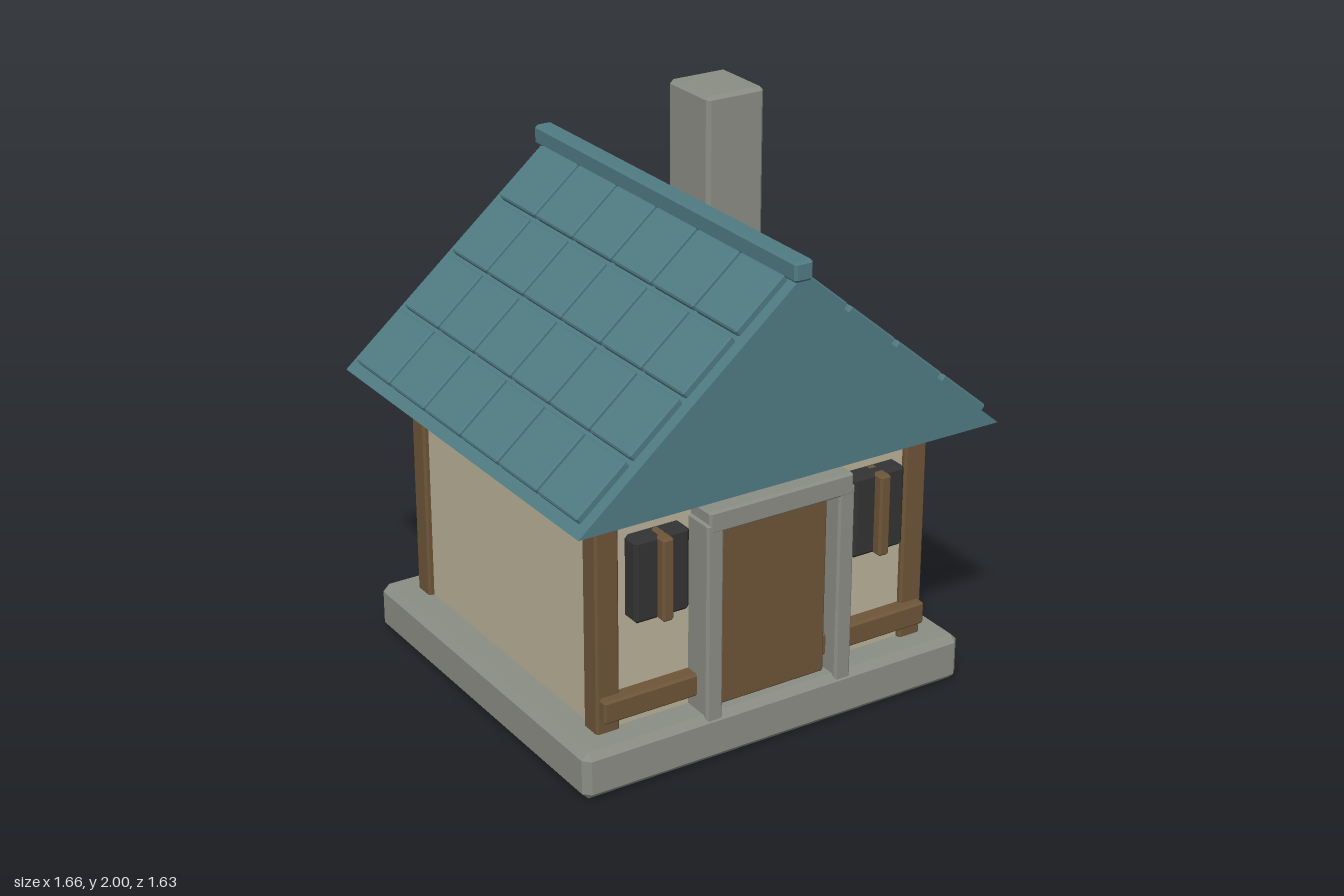
import * as THREE from 'three';
import { ConvexGeometry } from 'three/addons/geometries/ConvexGeometry.js';

const material = (name, color) => {
  const m = new THREE.MeshStandardMaterial({ color });
  m.name = name;
  return m;
};

// Box with flat chamfered edges, from its lower and upper corners
function chamferBox(min, max, bevel) {
  const c = min.map((v, i) => (v + max[i]) / 2);
  const h = min.map((v, i) => (max[i] - v) / 2);
  const points = [];
  for (const sx of [-1, 1]) for (const sy of [-1, 1]) for (const sz of [-1, 1]) {
    for (let full = 0; full < 3; full++) {
      const p = [sx, sy, sz].map((s, i) => c[i] + s * (h[i] - (i === full ? 0 : bevel)));
      points.push(new THREE.Vector3(...p));
    }
  }
  return new ConvexGeometry(points);
}

export function createModel() {
  const house = new THREE.Group();
  house.name = 'house';
  const stone = material('stone', 0x8a8d84);
  const plaster = material('plaster', 0xb9b198);
  const wood = material('wood', 0x6d5538);
  const slate = material('roofTeal', 0x4f7a82);
  const dark = material('windowDark', 0x333333);

  const add = (name, geometry, mat, parent = house) => {
    const mesh = new THREE.Mesh(geometry, mat);
    mesh.name = name;
    parent.add(mesh);
    return mesh;
  };
  const box = (name, min, max, mat, bevel = 0.008) => add(name, chamferBox(min, max, bevel), mat);

  // Foundation and walls
  box('foundation', [-0.77, 0, -0.725], [0.77, 0.175, 0.725], stone, 0.025);
  box('walls', [-0.645, 0.1, -0.605], [0.645, 1.03, 0.605], plaster, 0.005);

  // Corner posts
  for (const x of [-0.62, 0.62]) for (const z of [-0.5825, 0.5825]) {
    box('cornerPost', [x - 0.045, 0.12, z - 0.0425], [x + 0.045, 1.03, z + 0.0425], wood);
  }

  // Front beams
  box('upperBeam', [-0.66, 0.935, 0.58], [0.66, 1.03, 0.66], wood);
  box('lowerBeam', [-0.655, 0.225, 0.58], [0.655, 0.31, 0.66], wood);

  // Door and its stone frame
  box('door', [-0.215, 0.175, 0.59], [0.215, 0.84, 0.675], wood);
  for (const s of [-1, 1]) {
    box('doorJamb', [s * 0.2625 - 0.0325, 0.12, 0.58], [s * 0.2625 + 0.0325, 0.885, 0.72], stone);
  }
  box('doorLintel', [-0.287, 0.85, 0.58], [0.287, 0.93, 0.722], stone);

  // Windows with a central bar
  for (const s of [-1, 1]) {
    const x = s * 0.435;
    box('window', [x - 0.106, 0.57, 0.58], [x + 0.106, 0.872, 0.67], dark, 0.012);
    box('windowBar', [x - 0.022, 0.57, 0.6], [x + 0.022, 0.872, 0.706], wood);
  }

  // Solid gabled roof body
  const eaveX = 0.828, eaveY = 1.01, apexY = 1.71, roofZ = 0.797;
  const gable = new THREE.Shape();
  gable.moveTo(-eaveX, eaveY);
  gable.lineTo(eaveX, eaveY);
  gable.lineTo(0, apexY);
  gable.closePath();
  const roof = new THREE.ExtrudeGeometry(gable, { depth: 2 * roofZ, bevelEnabled: false });
  roof.translate(0, 0, -roofZ);
  add('roofBody', roof, slate);

  // Rows of tiles on both slopes
  const pitch = Math.atan2(apexY - eaveY, eaveX);
  const slopeLength = Math.hypot(eaveX, apexY - eaveY);
  const tile = chamferBox([-0.121, -0.025, -0.12], [0.121, 0.025, 0.12], 0.006);
  for (const s of [-1, 1]) {
    const slope = new THREE.Group();
    slope.name = s > 0 ? 'leftTiles' : 'rightTiles';
    slope.position.set(s * eaveX, eaveY, 0);
    slope.rotation.z = -s * pitch;
    house.add(slope);
    for (let row = 0; row < 4; row++) for (let col = 0; col < 6; col++) {
      const along = slopeLength * (0.152 + row * 0.238);
      add('roofTile', tile, slate, slope).position.set(-s * along, 0.002, (col - 2.5) * 0.2525);
    }
  }

  // Ridge cap and chimney
  box('ridgeCap', [-0.036, 1.7, -0.815], [0.036, 1.772, 0.815], slate, 0.01);
  box('chimney', [0.267, 1.2, -0.4], [0.503, 2, -0.145], stone, 0.014);

  return house;
}
